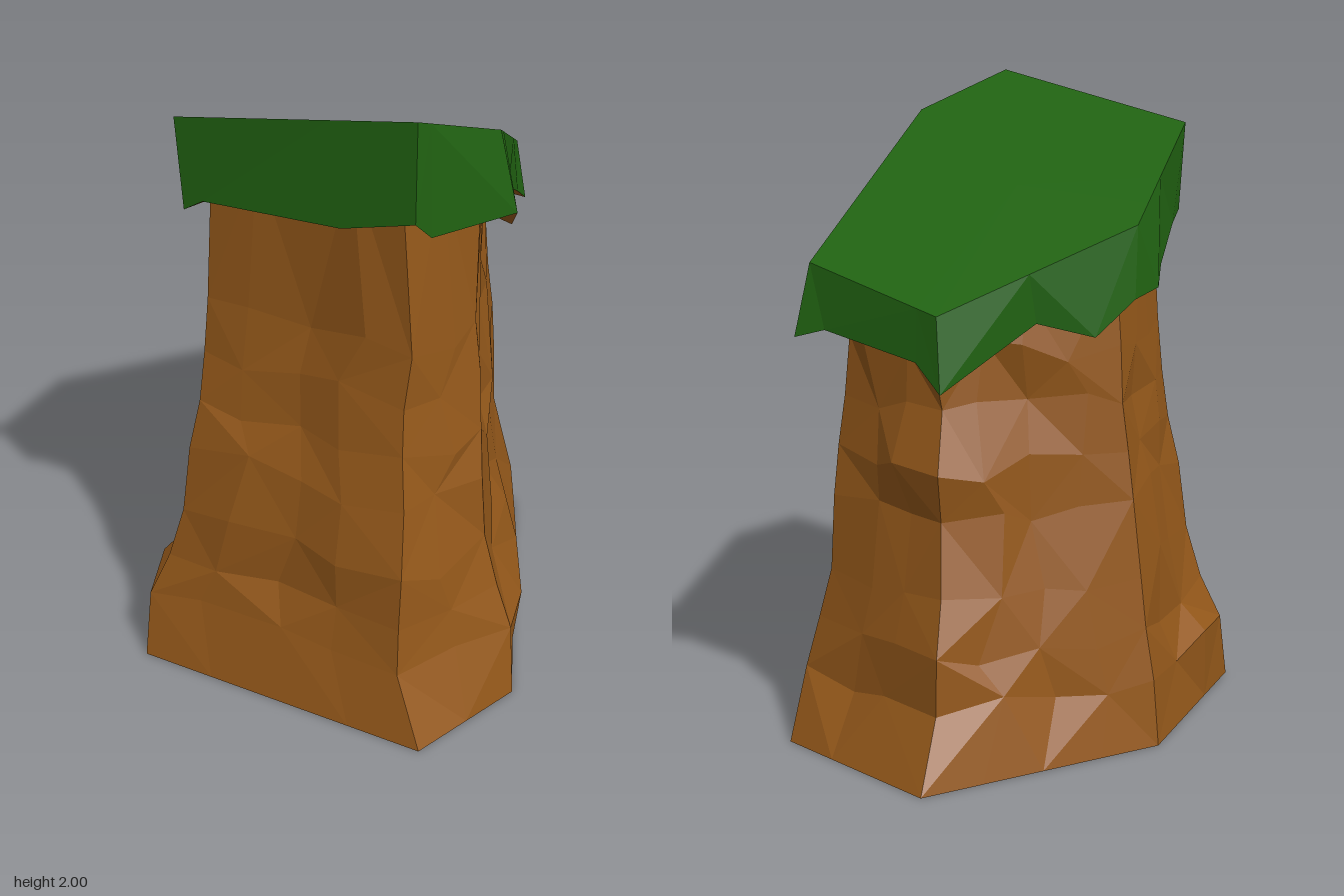
import * as THREE from 'three';

const brown = new THREE.MeshStandardMaterial({ color: 0x94581a, flatShading: true });
const green = new THREE.MeshStandardMaterial({ color: 0x216312, flatShading: true });

// Six trunk corners, each as [x, z] at every level; order runs counterclockwise seen from above
const levels = [0, 0.21, 0.36, 0.53, 0.75, 0.9, 1.07, 1.24, 1.56];
const corners = [
  [[-0.60, 0.445], [-0.585, 0.40], [-0.52, 0.38], [-0.47, 0.37], [-0.445, 0.35], [-0.41, 0.33], [-0.395, 0.30], [-0.38, 0.29], [-0.355, 0.28]],
  [[0.31, 0.81], [0.235, 0.725], [0.235, 0.70], [0.24, 0.685], [0.24, 0.63], [0.23, 0.59], [0.23, 0.565], [0.25, 0.555], [0.21, 0.54]],
  [[0.585, 0.505], [0.57, 0.46], [0.52, 0.44], [0.475, 0.42], [0.46, 0.42], [0.45, 0.38], [0.44, 0.36], [0.42, 0.35], [0.42, 0.34]],
  [[0.56, -0.55], [0.545, -0.45], [0.51, -0.42], [0.475, -0.40], [0.465, -0.39], [0.455, -0.37], [0.435, -0.36], [0.42, -0.35], [0.42, -0.35]],
  [[0.03, -0.81], [0.03, -0.68], [0.03, -0.67], [0.04, -0.60], [0.06, -0.54], [0.06, -0.565], [0.07, -0.495], [0.09, -0.515], [0.09, -0.51]],
  [[-0.53, -0.23], [-0.51, -0.22], [-0.48, -0.21], [-0.46, -0.20], [-0.43, -0.19], [-0.41, -0.18], [-0.39, -0.18], [-0.38, -0.17], [-0.36, -0.16]],
];

// Larger bumps and cracks, keyed by side, column and level
const carving = {
  '0,2,2': -0.03, '2,1,1': 0.035, '2,1,2': -0.02, '2,2,4': -0.015, '2,2,5': 0.02,
};

// Sloping grass top, and its ragged lower rim as [position along the top outline, x, y, z]
const slope = (z) => 1.683 + 0.473 * z;
const topCorners = [[-0.44, 0.37], [0.26, 0.67], [0.47, 0.41], [0.51, -0.43], [0.03, -0.645], [-0.43, -0.18]]
  .map(([x, z]) => new THREE.Vector3(x, slope(z), z));
const rimTable = [
  [0, -0.42, 1.58, 0.385], [0.1, -0.36, 1.62, 0.41], [0.65, 0.05, 1.645, 0.59],
  [1, 0.26, 1.71, 0.68], [1.15, 0.30, 1.645, 0.62], [2, 0.525, 1.625, 0.40],
  [2.13, 0.51, 1.54, 0.30], [2.32, 0.49, 1.48, 0.15], [2.75, 0.495, 1.41, -0.22],
  [2.93, 0.52, 1.33, -0.37], [3, 0.545, 1.26, -0.475], [3.15, 0.44, 1.29, -0.49],
  [3.85, 0.10, 1.24, -0.63], [4, 0.01, 1.16, -0.675], [4.45, -0.19, 1.33, -0.41],
  [4.75, -0.34, 1.28, -0.31], [5, -0.43, 1.38, -0.20], [5.2, -0.47, 1.40, -0.08],
  [5.45, -0.445, 1.45, 0.05], [5.8, -0.43, 1.55, 0.26],
];

function randomMaker(seed) {
  return () => {
    seed = (seed * 16807) % 2147483647;
    return seed / 2147483647 * 2 - 1;
  };
}

function meshFrom(name, points, material) {
  const geometry = new THREE.BufferGeometry().setFromPoints(points);
  geometry.computeVertexNormals();
  const mesh = new THREE.Mesh(geometry, material);
  mesh.name = name;
  return mesh;
}

// Faces between two rings of equal length, with alternating diagonals
function strip(out, low, high, row = 0) {
  low.forEach((a, i) => {
    const j = (i + 1) % low.length;
    const b = low[j], c = high[j], d = high[i];
    if ((i + row) % 2) out.push(a, b, c, a, c, d);
    else out.push(a, b, d, b, c, d);
  });
}

// Triangles from a centre to a ring
function fan(out, ring, centre, facingUp) {
  ring.forEach((a, i) => {
    const b = ring[(i + 1) % ring.length];
    out.push(centre, ...(facingUp ? [a, b] : [b, a]));
  });
}

function buildTrunk() {
  const rand = randomMaker(90210);
  const perSide = [4, 2, 4, 3, 4, 3];
  const last = levels.length - 1;
  const rings = levels.map((y, l) => {
    const ring = [];
    corners.forEach((corner, s) => {
      const [ax, az] = corner[l];
      const [bx, bz] = corners[(s + 1) % 6][l];
      const n = perSide[s], length = Math.hypot(bx - ax, bz - az);
      const tx = (bx - ax) / length, tz = (bz - az) / length;
      for (let k = 0; k < n; k++) {
        const inner = k > 0 && l > 0 && l < last;
        // chipped stone: shift along the face, in depth and in height
        const along = length * k / n + (inner ? rand() * 0.04 : 0);
        const depth = carving[`${s},${k},${l}`] ?? (inner ? rand() * 0.02 : 0);
        const x = ax + tx * along - tz * depth;
        const z = az + tz * along + tx * depth;
        const height = l === last ? y + 0.473 * z : y + (l > 0 ? rand() * (k ? 0.045 : 0.015) : 0);
        ring.push(new THREE.Vector3(x, height, z));
      }
    });
    return ring;
  });
  const faces = [];
  for (let l = 0; l < last; l++) strip(faces, rings[l], rings[l + 1], l);
  fan(faces, rings[0], new THREE.Vector3(0, 0, 0), false);
  return meshFrom('rockTrunk', faces, brown);
}

function buildCap() {
  const group = new THREE.Group();
  group.name = 'cap';
  const rim = rimTable.map(([, x, y, z]) => new THREE.Vector3(x, y, z));
  const edge = rimTable.map(([u]) => {
    const s = Math.floor(u);
    return topCorners[s].clone().lerp(topCorners[(s + 1) % 6], u - s);
  });
  const grass = [];
  strip(grass, rim, edge);
  fan(grass, edge, new THREE.Vector3(0, slope(0), 0), true);
  const under = [];
  fan(under, rim, new THREE.Vector3(0, 1.62, 0), false);
  group.add(meshFrom('grassTop', grass, green), meshFrom('overhangUnderside', under, brown));
  return group;
}

export function createModel() {
  const model = new THREE.Group();
  model.name = 'grassyRockPillar';
  model.add(buildTrunk(), buildCap());
  return model;
}
